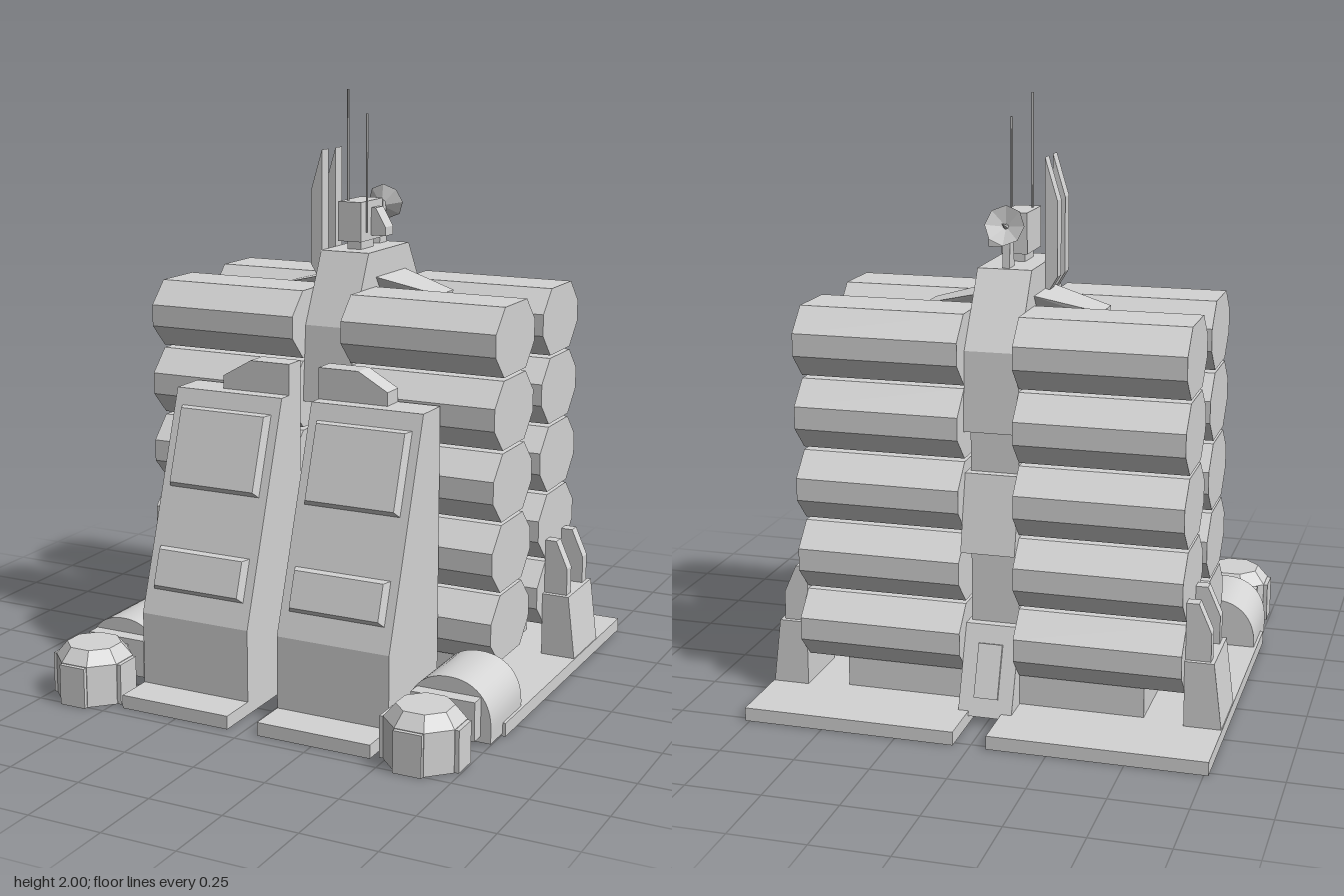
import * as THREE from 'three';
import { ConvexGeometry } from 'three/addons/geometries/ConvexGeometry.js';
import { toCreasedNormals } from 'three/addons/utils/BufferGeometryUtils.js';

// Plates and towers are open underneath, so both sides show
const grey = new THREE.MeshStandardMaterial({ color: 0xd4d4d4, side: THREE.DoubleSide });
grey.name = 'light grey';

function add(parent, geometry, name, x = 0, y = 0, z = 0) {
  const mesh = new THREE.Mesh(toCreasedNormals(geometry, 0.2), grey);
  mesh.name = name;
  mesh.position.set(x, y, z);
  parent.add(mesh);
  return mesh;
}

// Box given by its limits on each axis
function box(parent, name, x0, x1, y0, y1, z0, z1) {
  return add(parent, new THREE.BoxGeometry(Math.abs(x1 - x0), y1 - y0, z1 - z0),
    name, (x0 + x1) / 2, (y0 + y1) / 2, (z0 + z1) / 2);
}

// Profile of [z, y] points extruded from x0 to x1
function extrudeX(parent, name, profile, x0, x1) {
  const shape = new THREE.Shape(profile.map(([z, y]) => new THREE.Vector2(-z, y)));
  const geo = new THREE.ExtrudeGeometry(shape, { depth: Math.abs(x1 - x0), bevelEnabled: false });
  geo.rotateY(Math.PI / 2);
  return add(parent, geo, name, Math.min(x0, x1));
}

// Profile of [x, y] points extruded from z0 to z1, mirrored when s is -1
function extrudeZ(parent, name, profile, z0, z1, s = 1) {
  const shape = new THREE.Shape(profile.map(([x, y]) => new THREE.Vector2(x * s, y)));
  const geo = new THREE.ExtrudeGeometry(shape, { depth: z1 - z0, bevelEnabled: false });
  return add(parent, geo, name, 0, 0, z0);
}

function hull(parent, name, points) {
  return add(parent, new ConvexGeometry(points.map((p) => new THREE.Vector3(...p))), name);
}

// Removes the triangles lying on the lowest level of a mesh
function openBottom(mesh) {
  const geo = mesh.geometry;
  geo.computeBoundingBox();
  const limit = geo.boundingBox.min.y + 1e-4;
  const p = geo.attributes.position;
  const kept = [];
  for (let i = 0; i < p.count; i += 3) {
    if (Math.max(p.getY(i), p.getY(i + 1), p.getY(i + 2)) > limit) kept.push(i, i + 1, i + 2);
  }
  geo.setIndex(kept);
}

// Stacks of flattened eight-sided drums
function addDrums(g, s) {
  for (let row = 0; row < 5; row++) {
    const y = 0.262 + row * 0.2405;
    for (const z of [0.01, -0.41]) {
      const profile = [[0.095, 0.115], [0.17, 0.037], [0.17, -0.037], [0.095, -0.115],
        [-0.095, -0.115], [-0.17, -0.037], [-0.17, 0.037], [-0.095, 0.115]]
        .map(([dz, dy]) => [z + dz, y + dy]);
      extrudeX(g, 'drum', profile, 0.09 * s, 0.64 * s);
    }
  }
}

// Sloping front tower with raised panels and a stepped cap
function addTower(g, s) {
  openBottom(extrudeX(g, 'frontTower', [[0.19, 0], [0.565, 0], [0.565, 0.29], [0.32, 1.015], [0.19, 1.015]],
    0.055 * s, 0.455 * s));
  for (const [y, h] of [[0.83, 0.275], [0.44, 0.145]]) {
    const panel = new THREE.Group();
    panel.name = 'towerPanel';
    panel.position.set(0.255 * s, y, 0.565 - (y - 0.29) * 0.338);
    panel.rotation.x = -Math.atan(0.338);
    const pts = [];
    for (const [z, inset] of [[0, 0], [0.028, 0.012]]) {
      for (const a of [-1, 1]) for (const b of [-1, 1]) {
        pts.push([a * (0.17 - inset), b * (h / 2 - inset), z]);
      }
    }
    hull(panel, 'raisedPanel', pts);
    g.add(panel);
  }
  extrudeZ(g, 'towerCap', [[0.055, 1.01], [0.305, 1.01], [0.305, 1.06], [0.2, 1.12], [0.055, 1.12]], 0.19, 0.27, s);
}

// Arched housing with an octagonal pod in front
function addPod(g, s) {
  const x = 0.61;
  const arch = [[x - 0.145, 0.045]];
  for (let i = 0; i <= 32; i++) {
    const c = Math.cos(Math.PI * (1 - i / 32)), h = Math.sin(Math.PI * i / 32);
    arch.push([x + 0.145 * Math.sign(c) * Math.abs(c) ** 0.9, 0.06 + 0.15 * Math.abs(h) ** 0.9]);
  }
  arch.push([x + 0.145, 0.045]);
  extrudeZ(g, 'podHousing', arch, 0.19, 0.45, s);
  box(g, 'housingBase', 0.465 * s, 0.755 * s, 0.01, 0.045, 0.35, 0.45);
  box(g, 'housingCollar', 0.5 * s, 0.72 * s, 0.03, 0.16, 0.45, 0.5);
  box(g, 'podNeck', 0.562 * s, 0.658 * s, 0.02, 0.14, 0.49, 0.54);
  const k = 1 / Math.cos(Math.PI / 8), cz = 0.63;
  const body = new THREE.CylinderGeometry(0.12 * k, 0.12 * k, 0.14, 8);
  const top = new THREE.CylinderGeometry(0.085 * k, 0.12 * k, 0.045, 8);
  add(g, body.rotateY(Math.PI / 8), 'podBody', x * s, 0.07, cz);
  add(g, top.rotateY(Math.PI / 8), 'podTop', x * s, 0.1625, cz);
  box(g, 'podSideBlocks', (x - 0.134) * s, (x + 0.134) * s, 0, 0.138, cz - 0.047, cz + 0.047);
  box(g, 'podFrontBlock', (x - 0.048) * s, (x + 0.048) * s, 0, 0.138, cz, cz + 0.134);
}

// Two-pronged clamp on the outer side
function addClamp(g, s) {
  extrudeZ(g, 'clampBase', [[0.64, 0.045], [0.762, 0.045], [0.735, 0.265], [0.64, 0.265]], -0.53, -0.295, s);
  for (const z of [-0.355, -0.515]) {
    extrudeZ(g, 'clampProng', [[0.64, 0.26], [0.722, 0.26], [0.722, 0.36], [0.68, 0.455], [0.64, 0.455]], z, z + 0.042, s);
  }
}

// Thin drooping wing beside the head of the spine
function addWing(g, s) {
  const pts = [];
  for (const [x, z0, z1, y0, y1, b] of [[0.08, -0.325, -0.085, 1.31, 1.374, 0.045], [0.3, -0.265, -0.14, 1.295, 1.318, 0.008]]) {
    pts.push([x * s, y1, z0], [x * s, y1, z1], [x * s, y0, z0 + b], [x * s, y0, z1 - b]);
  }
  hull(g, 'spineWing', pts);
}

// Turret, antennas, fins and dish on the roof
function addRoof(g) {
  box(g, 'turretNeck', -0.026, 0.026, 1.45, 1.5, -0.2, -0.1);
  box(g, 'turretHead', -0.043, 0.043, 1.49, 1.625, -0.235, -0.065);
  extrudeZ(g, 'turretWedge', [[0.04, 1.505], [0.097, 1.505], [0.097, 1.535], [0.06, 1.6], [0.04, 1.6]], -0.205, -0.145);
  for (const [x, top] of [[-0.025, 2], [0.046, 1.92]]) {
    add(g, new THREE.CylinderGeometry(0.004, 0.004, top - 1.52, 6), 'antenna', x, (top + 1.52) / 2, -0.105);
  }
  for (const z of [-0.082, -0.183]) {
    extrudeZ(g, 'roofFin', [[-0.088, 1.34], [-0.088, 1.8], [-0.13, 1.66], [-0.13, 1.41]], z, z + 0.05);
  }
  extrudeX(g, 'dishPost', [[-0.275, 1.455], [-0.335, 1.455], [-0.325, 1.6], [-0.305, 1.61]], -0.012, 0.012);

  const dish = new THREE.Group();
  dish.name = 'dish';
  dish.position.set(0, 1.59, -0.322);
  dish.rotation.x = -Math.PI / 2 + 0.33;
  const bowl = [[0, 0], [0.012, 0], [0.066, 0.03], [0, 0.008]].map(([r, y]) => new THREE.Vector2(r, y));
  add(dish, new THREE.LatheGeometry(bowl, 8), 'dishBowl');
  add(dish, new THREE.ConeGeometry(0.01, 0.06, 6), 'dishFeed', 0, 0.035, 0);
  g.add(dish);
}

// Central spine: flared segments with narrower recesses between them
function addSpine(g) {
  extrudeX(g, 'spineHead', [[-0.03, 1.46], [0.085, 1.22], [0.105, 0.96], [-0.515, 0.96], [-0.5, 1.22], [-0.35, 1.46]], -0.09, 0.09);
  extrudeX(g, 'spineMiddle', [[0.085, 0.82], [0.14, 0.57], [-0.56, 0.57], [-0.5, 0.82]], -0.09, 0.09);
  extrudeX(g, 'spineBase', [[0.085, 0.31], [0.155, 0.03], [-0.605, 0.03], [-0.5, 0.31]], -0.09, 0.09);
  for (const [y0, y1] of [[0.82, 0.96], [0.31, 0.57]]) box(g, 'spineRecess', -0.08, 0.08, y0, y1, -0.47, 0.06);
  extrudeX(g, 'rearHatch', [[-0.51, 0.25], [-0.53, 0.255], [-0.592, 0.09], [-0.57, 0.08]], -0.04, 0.04);
}

export function createModel() {
  const g = new THREE.Group();
  g.name = 'storageStation';
  addSpine(g);
  for (const s of [1, -1]) {
    const side = new THREE.Group();
    side.name = s > 0 ? 'leftSide' : 'rightSide';
    // Hollow ground plates and the plinth under the drums
    openBottom(box(side, 'groundPlate', 0.055 * s, 0.765 * s, 0, 0.045, -0.77, 0.19));
    openBottom(box(side, 'podPlate', 0.455 * s, 0.765 * s, 0, 0.045, 0.19, 0.35));
    openBottom(box(side, 'towerFoot', 0.055 * s, 0.455 * s, 0, 0.045, 0.565, 0.7));
    box(side, 'drumPlinth', 0.085 * s, 0.505 * s, 0.045, 0.2, -0.5, 0.09);
    addDrums(side, s);
    addTower(side, s);
    addPod(side, s);
    addClamp(side, s);
    addWing(side, s);
    g.add(side);
  }
  addRoof(g);
  return g;
}
